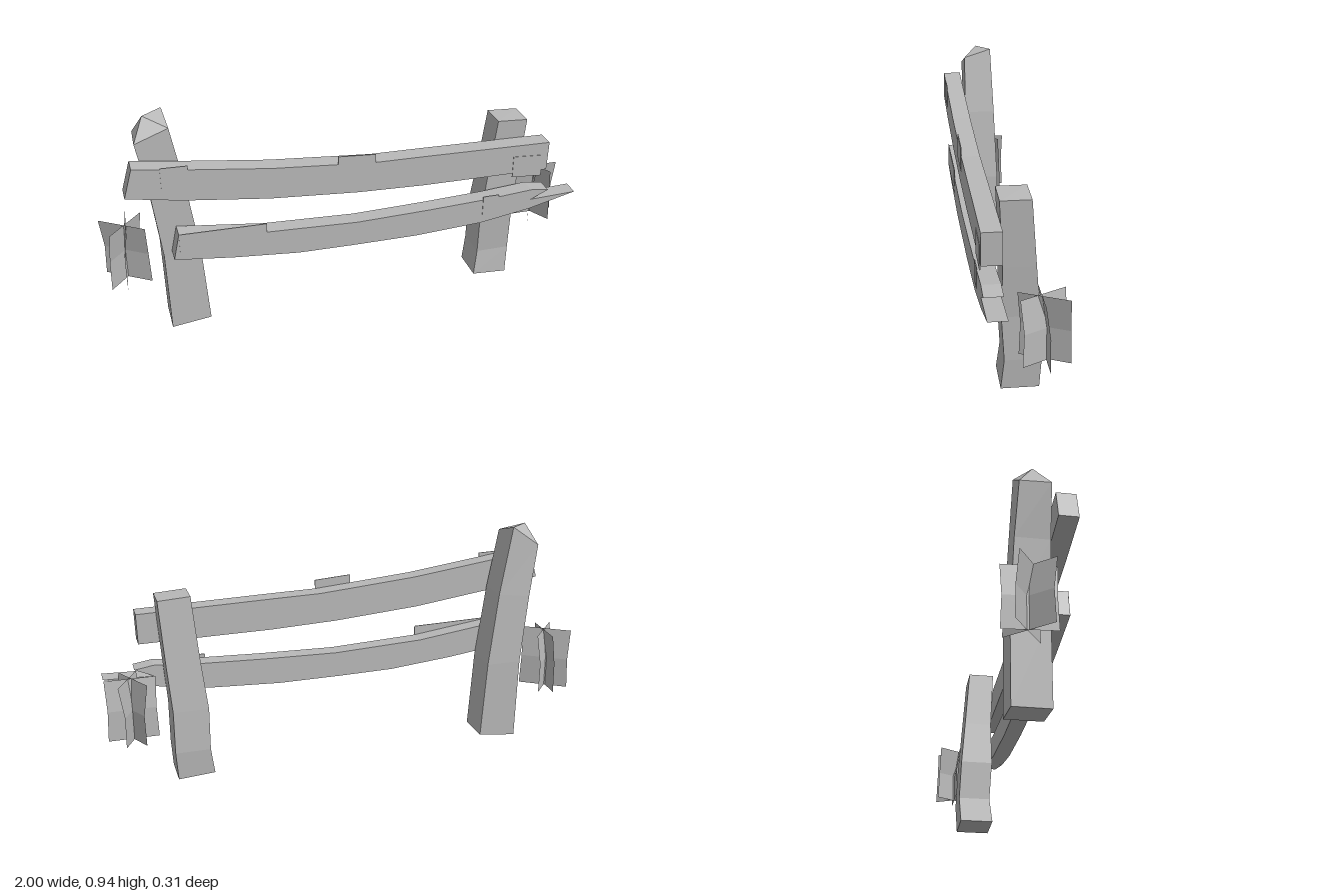
import * as THREE from 'three';

const wood = new THREE.MeshStandardMaterial({ color: 0xb8b8b8 });
wood.name = 'grey wood';
wood.flatShading = true;
const leaf = wood.clone();
leaf.name = 'grey grass';
leaf.side = THREE.DoubleSide;

// Post lofted through rings of four corners: front left, front right, back right, back left
function post(name, rings, peak) {
  const v = [];
  const base = [0, 1, 2].map(k => rings[0].reduce((s, p) => s + p[k], 0) / 4);
  const top = rings[rings.length - 1];
  for (let j = 0; j < 4; j++) {
    const n = (j + 1) % 4;
    for (let i = 0; i < rings.length - 1; i++) {
      const [a, b, c, d] = [rings[i][j], rings[i][n], rings[i + 1][n], rings[i + 1][j]];
      v.push(...a, ...b, ...c, ...a, ...c, ...d);
    }
    v.push(...rings[0][n], ...rings[0][j], ...base);
    v.push(...top[j], ...top[n], ...peak);
  }
  const g = new THREE.BufferGeometry();
  g.setAttribute('position', new THREE.Float32BufferAttribute(v, 3));
  g.computeVertexNormals();
  const m = new THREE.Mesh(g, wood);
  m.name = name;
  return m;
}

// Four corners of a post section; the heights may tilt
const ring = (x0, x1, z0, z1, yL, yR = yL) =>
  [[x0, yL, z1], [x1, yR, z1], [x1, yR, z0], [x0, yL, z0]];

// Outline in x and y, given thickness along z
function slab(name, pts, z, depth) {
  const shape = new THREE.Shape(pts.map(p => new THREE.Vector2(...p)));
  const g = new THREE.ExtrudeGeometry(shape, { depth, bevelEnabled: false });
  g.translate(0, 0, z);
  const m = new THREE.Mesh(g, wood);
  m.name = name;
  return m;
}

// Three crossed, slightly leaning blades
function grass(name, x, z, y0, y1, blades) {
  const tuft = new THREE.Group();
  tuft.name = name;
  for (const [angle, r] of blades) {
    const g = new THREE.PlaneGeometry(2 * r, y1 - y0, 1, 2);
    const p = g.attributes.position;
    for (let i = 0; i < p.count; i++) {
      const row = Math.floor(i / 2);
      p.setZ(i, [0.012, -0.006, -0.006][row]);
      if (row === 1) p.setX(i, p.getX(i) * 0.95);
    }
    g.computeVertexNormals();
    const m = new THREE.Mesh(g, leaf);
    m.name = 'grassBlade';
    m.rotation.y = angle;
    tuft.add(m);
  }
  tuft.position.set(x, (y0 + y1) / 2, z);
  return tuft;
}

export function createModel() {
  const fence = new THREE.Group();
  fence.name = 'fence';

  // Tall leaning post with a chipped top
  fence.add(post('tallPost', [
    ring(-0.76, -0.597, -0.075, 0.07, 0.0, 0.02),
    ring(-0.767, -0.618, -0.077, 0.068, 0.35),
    ring(-0.8, -0.66, -0.066, 0.067, 0.64, 0.66),
    [[-0.84, 0.86, 0.068], [-0.705, 0.91, 0.065], [-0.715, 0.945, -0.055], [-0.835, 0.86, -0.052]],
  ], [-0.795, 0.945, 0.005]));

  // Short crooked post
  fence.add(post('shortPost', [
    ring(0.585, 0.735, -0.075, 0.068, 0.015, 0.005),
    ring(0.6, 0.743, -0.082, 0.056, 0.125),
    ring(0.598, 0.742, -0.074, 0.067, 0.3),
    ring(0.62, 0.757, -0.057, 0.064, 0.5),
    ring(0.643, 0.773, -0.036, 0.078, 0.765, 0.757),
  ], [0.708, 0.762, 0.02]));

  // Sagging upper rail
  fence.add(slab('upperRail', [
    [-0.9, 0.68], [-0.68, 0.64], [-0.34, 0.595], [0.02, 0.567], [0.3, 0.556], [0.845, 0.55],
    [0.848, 0.675], [0.3, 0.688], [0.09, 0.692], [-0.07, 0.705], [-0.33, 0.727], [-0.66, 0.77], [-0.865, 0.8],
  ], 0.075, 0.076));

  // Lower rail with a splintered end
  fence.add(slab('lowerRail', [
    [-0.735, 0.375], [-0.5, 0.345], [-0.23, 0.32], [0, 0.316], [0.27, 0.315], [0.57, 0.33], [0.785, 0.363],
    [0.995, 0.415], [0.79, 0.408], [0.868, 0.443], [0.79, 0.455], [0.59, 0.44], [0.33, 0.43], [0.02, 0.423],
    [-0.36, 0.44], [-0.71, 0.485],
  ], 0.073, 0.072));

  // Thin boards flush with the rail fronts
  const boards = [
    [0.149, [[-0.76, 0.7], [-0.655, 0.69], [-0.655, 0.787], [-0.76, 0.79]]],
    [0.149, [[-0.065, 0.64], [0.09, 0.63], [0.09, 0.729], [-0.065, 0.74]]],
    [0.149, [[0.69, 0.535], [0.82, 0.525], [0.825, 0.62], [0.69, 0.63]]],
    [0.143, [[-0.71, 0.39], [-0.36, 0.37], [-0.36, 0.48], [-0.71, 0.487]]],
    [0.143, [[0.57, 0.37], [0.64, 0.37], [0.64, 0.455], [0.57, 0.455]]],
  ];
  for (const [z, pts] of boards) fence.add(slab('railBoard', pts, z, 0.004));

  // Grass tufts at both ends
  fence.add(grass('rightGrass', -0.91, -0.035, 0.21, 0.468, [[-0.6, 0.105], [1.5, 0.1], [0.85, 0.105]]));
  fence.add(grass('leftGrass', 0.9, -0.065, 0.21, 0.458, [[0, 0.1], [-1.08, 0.097], [1.1, 0.097]]));
  return fence;
}
